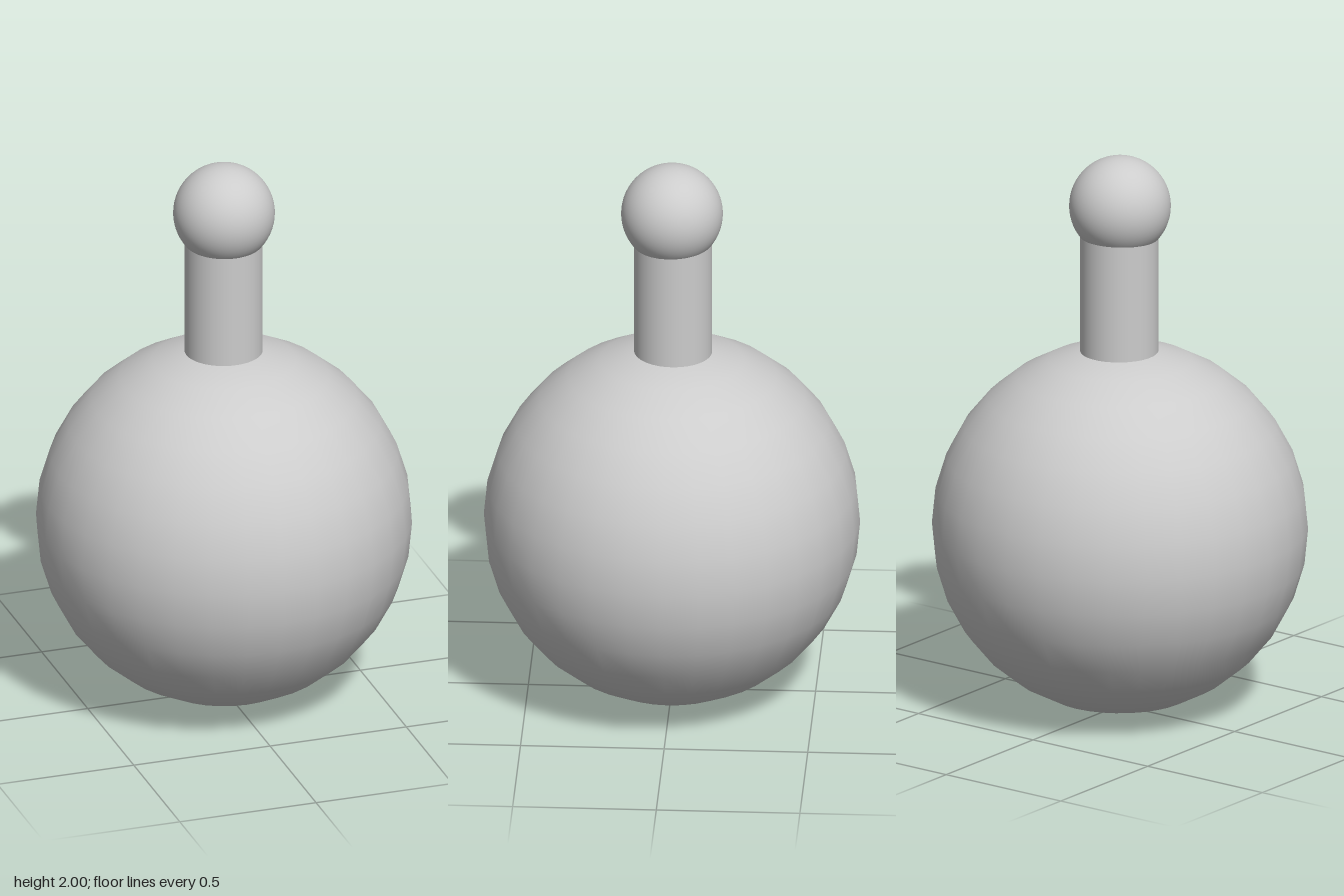
import * as THREE from 'three';

export function createModel() {
  const model = new THREE.Group();
  const lightGrey = new THREE.MeshStandardMaterial({ color: 0xcccccc });
  lightGrey.name = 'lightGrey';

  const add = (name, geometry, y, z = 0) => {
    const mesh = new THREE.Mesh(geometry, lightGrey);
    mesh.name = name;
    mesh.position.set(0, y, z);
    model.add(mesh);
  };

  // large round body
  add('body', new THREE.SphereGeometry(0.655, 32, 16), 0.656);
  // smooth neck, its ends sunk into both balls
  add('neck', new THREE.CylinderGeometry(0.136, 0.136, 0.56, 64, 1), 1.49, -0.004);
  // small ball on top
  add('topBall', new THREE.SphereGeometry(0.177, 64, 32), 1.823);

  return model;
}
